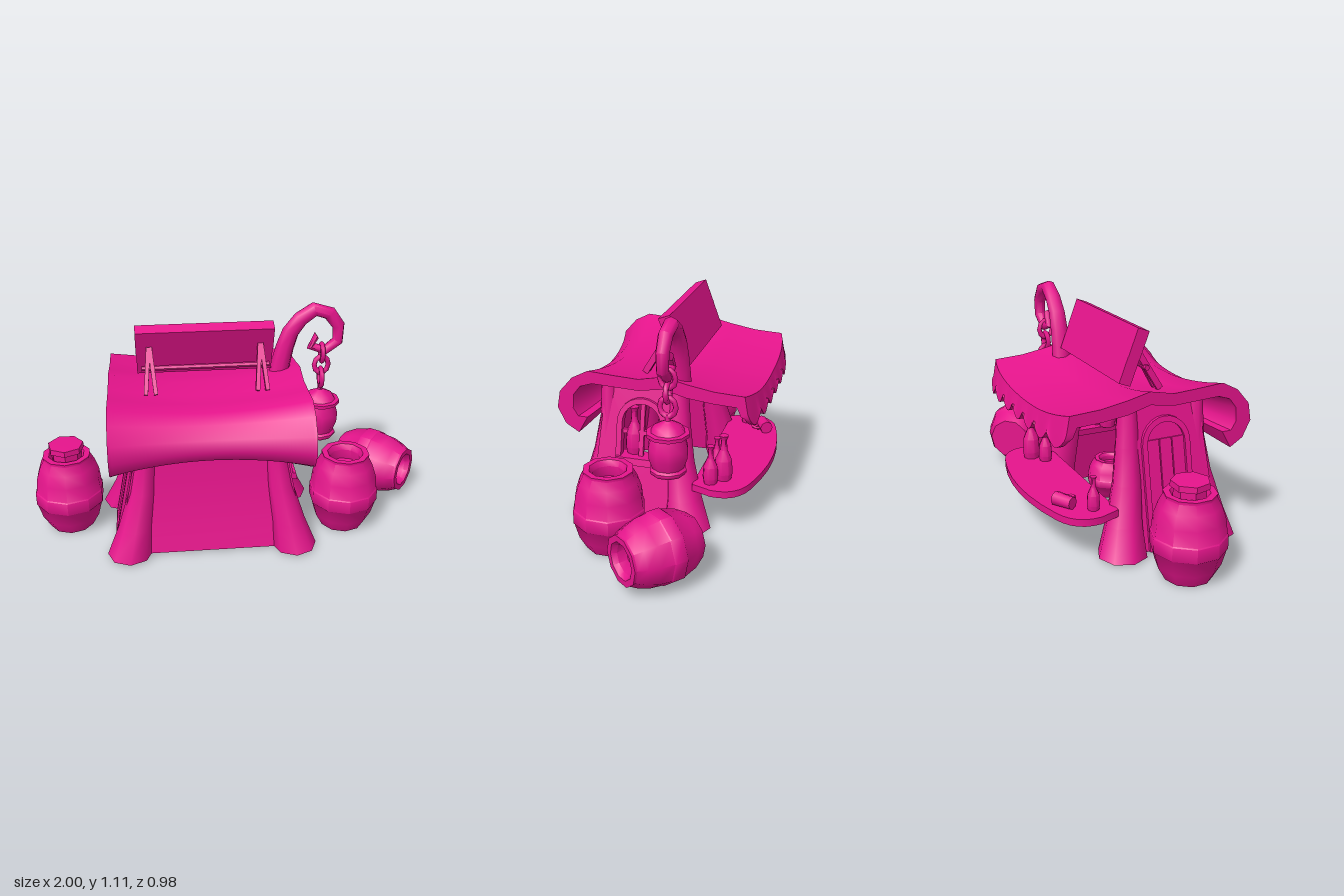
import * as THREE from 'three';
import { toCreasedNormals } from 'three/addons/utils/BufferGeometryUtils.js';

const material = new THREE.MeshStandardMaterial({ color: 0xe6148c, side: THREE.DoubleSide });
const CENTRE = -0.125; // x of the stall's mirror plane

function add(parent, name, geometry, x = 0, y = 0, z = 0, crease = 0.8) {
  const mesh = new THREE.Mesh(toCreasedNormals(geometry, crease), material);
  mesh.name = name;
  mesh.position.set(x, y, z);
  parent.add(mesh);
  return mesh;
}

const lathe = (profile, sides = 10) =>
  new THREE.LatheGeometry(profile.map(([r, y]) => new THREE.Vector2(r, y)), sides);

// Flared post through rows of [y, x, z, radius]
function post(rows) {
  const g = new THREE.CylinderGeometry(1, 1, 1, 8, rows.length - 1);
  const p = g.attributes.position;
  for (let i = 0; i < p.count; i++) {
    const [y, x, z, r] = rows[Math.round((p.getY(i) + 0.5) * (rows.length - 1))];
    p.setXYZ(i, x + p.getX(i) * r, y, z + p.getZ(i) * r);
  }
  return g;
}

// Flat panel drawn in (-z, y), extruded outwards and leaned in with height
function leaning(shape, depth, out) {
  const g = new THREE.ExtrudeGeometry(shape, { depth, bevelEnabled: false, curveSegments: 6 });
  g.rotateY(Math.PI / 2);
  const p = g.attributes.position;
  for (let i = 0; i < p.count; i++) p.setX(i, p.getX(i) + out + 0.435 - 0.2 * p.getY(i));
  return g;
}

function arch(path, centre, half, bottom, spring) {
  path.moveTo(centre - half, bottom);
  path.lineTo(centre + half, bottom);
  path.lineTo(centre + half, spring);
  path.absarc(centre, spring, half, 0, Math.PI, false);
  path.lineTo(centre - half, bottom);
  return path;
}

const polygon = (points) => new THREE.Shape(points.map(([x, y]) => new THREE.Vector2(x, y)));
const rectangle = (x0, y0, x1, y1) => polygon([[x0, y0], [x1, y0], [x1, y1], [x0, y1]]);

// Roof: paired outer and inner profile (z, y) swept along x with a sag and scalloped rear hem
function roofGeometry() {
  const outer = [[.385, .465], [.45, .505], [.49, .585], [.475, .67], [.41, .745], [.33, .787], [.2, .778],
    [.08, .772], [-.04, .797], [-.15, .772], [-.28, .75], [-.425, .742], [-.44, .66], [-.45, .585]];
  const inner = [[.338, .55], [.385, .55], [.41, .59], [.405, .66], [.37, .705], [.31, .725], [.2, .72],
    [.08, .715], [-.04, .735], [-.15, .705], [-.28, .69], [-.39, .685], [-.41, .64], [-.425, .585]];
  const n = outer.length, loop = [...outer, ...[...inner].reverse()], m = loop.length, steps = 56;
  const positions = [], index = [];
  for (let j = 0; j <= steps; j++) {
    const t = j / steps * 2 - 1, s = 1 - t * t, bow = 1 - t ** 4;
    loop.forEach(([z, y], i) => {
      const hem = i === n - 1 || i === n;
      const scallop = hem ? 0.05 * (1 - Math.abs(Math.sin(j / steps * Math.PI * 7))) : 0;
      const lift = z > -0.38 ? -0.065 * s * (y - 0.58) / 0.21 : -0.055 * s * Math.max(0, (y - 0.585) / 0.15);
      const stretch = z > 0 ? 1 - 0.143 * s : 1 + 0.085 * bow;
      positions.push(t * 0.475, y + lift + scallop, z * stretch);
    });
  }
  for (let j = 0; j < steps; j++) for (let i = 0; i < m; i++) {
    const a = j * m + i, c = j * m + (i + 1) % m;
    index.push(a, a + m, c, a + m, c + m, c);
  }
  const last = steps * m;
  for (let i = 0; i < n - 1; i++) {
    const o = i, o2 = i + 1, q = m - 1 - i, q2 = m - 2 - i;
    index.push(o, o2, q, o2, q2, q, last + o, last + q, last + o2, last + o2, last + q, last + q2);
  }
  const g = new THREE.BufferGeometry();
  g.setAttribute('position', new THREE.Float32BufferAttribute(positions, 3));
  g.setIndex(index);
  return g;
}

// Tapered tube along the curl
function hookGeometry() {
  const path = new THREE.CatmullRomCurve3([[.25, .72], [.275, .86], [.325, .99], [.435, 1.075], [.525, 1.025],
    [.555, .925], [.505, .86], [.43, .86], [.4, .91], [.44, .935]].map(([x, y]) => new THREE.Vector3(x, y, -0.1)));
  const rings = 11, sides = 8, g = new THREE.TubeGeometry(path, rings, 1, sides);
  const p = g.attributes.position, v = new THREE.Vector3();
  for (let i = 0; i < p.count; i++) {
    const u = Math.floor(i / (sides + 1)) / rings, c = path.getPointAt(u);
    v.fromBufferAttribute(p, i).sub(c).multiplyScalar(0.052 - 0.032 * u).add(c);
    p.setXYZ(i, v.x, v.y, v.z);
  }
  return g;
}

const JAR = [[0, 0], [.112, 0], [.148, .065], [.168, .14], [.173, .145], [.173, .21], [.168, .215],
  [.16, .285], [.14, .345], [.118, .388], [.12, .402], [.09, .402], [.075, .375], [.085, .32], [0, .3]];
const BOTTLE = [[0, 0], [.034, 0], [.04, .03], [.036, .09], [.016, .135], [.012, .18], [.02, .2], [0, .2]];

export function createModel() {
  const model = new THREE.Group();
  const stall = new THREE.Group();
  stall.name = 'stall';
  stall.position.x = CENTRE;
  model.add(stall);

  add(stall, 'roof', roofGeometry());

  // Posts and side walls, mirrored
  for (const side of [1, -1]) {
    const half = new THREE.Group();
    half.name = side > 0 ? 'leftSide' : 'rightSide';
    half.scale.x = side;
    stall.add(half);
    add(half, 'frontPost', post([[.72, .3, .285, .04], [.5, .315, .28, .053], [.33, .335, .3, .063],
      [.15, .375, .33, .082], [.01, .405, .35, .11]]), 0, 0, 0, 0.9);
    add(half, 'backPost', post([[.71, .3, -.07, .045], [.5, .32, -.075, .058], [.33, .35, -.09, .07],
      [.15, .385, -.12, .09], [.01, .425, -.145, .12]]), 0, 0, 0, 0.9);
    const wall = polygon([[-.35, .01], [.14, .01], [.08, .7], [-.29, .7]]);
    const bottom = side > 0 ? 0.33 : 0.03;
    const frame = arch(new THREE.Shape(), -0.1, 0.125, bottom - 0.02, 0.5);
    frame.holes.push(arch(new THREE.Path(), -0.1, 0.098, bottom, 0.5));
    if (side > 0) {
      wall.holes.push(arch(new THREE.Path(), -0.1, 0.1, bottom, 0.5));
      add(half, 'windowUpright', leaning(rectangle(-.112, .33, -.09, .59), .02, .005));
      add(half, 'windowCrossbar', leaning(rectangle(-.2, .44, 0, .46), .02, .005));
      add(half, 'windowSill', leaning(rectangle(-.22, .3, .03, .335), .09, -.03));
    } else {
      for (const a of [-0.165, -0.1, -0.035]) {
        add(half, 'doorPlank', leaning(rectangle(a - .03, .03, a + .03, .52), .012, .024));
      }
    }
    add(half, 'sideWall', leaning(wall, 0.03, 0));
    add(half, side > 0 ? 'windowFrame' : 'doorFrame', leaning(frame, 0.045, 0));
  }

  // Front wall, curving with the posts
  const front = new THREE.BoxGeometry(0.7, 0.67, 0.04, 1, 8, 1);
  const p = front.attributes.position;
  for (let i = 0; i < p.count; i++) {
    const k = 0.5 - p.getY(i) / 0.67;
    p.setX(i, p.getX(i) * (0.9 + 0.2 * k * k));
    p.setZ(i, p.getZ(i) + 0.27 + 0.08 * k * k);
  }
  add(stall, 'frontWall', front, 0, 0.345, 0);

  // Counter with a bowed edge
  const top = new THREE.Shape();
  top.moveTo(-.43, .17);
  top.lineTo(.43, .17);
  top.lineTo(.465, .27);
  top.quadraticCurveTo(.48, .4, .34, .44);
  top.quadraticCurveTo(0, .54, -.34, .44);
  top.quadraticCurveTo(-.48, .4, -.465, .27);
  add(stall, 'counter', new THREE.ExtrudeGeometry(top, { depth: .035, bevelEnabled: false, curveSegments: 6 })
    .rotateX(-Math.PI / 2), 0, 0.205, 0);

  // Roof sign with its props
  const sign = new THREE.Group();
  sign.name = 'sign';
  sign.position.set(0, 0.914, -0.05);
  sign.rotation.x = 0.36;
  stall.add(sign);
  add(sign, 'upperPlank', new THREE.BoxGeometry(.67, .132, .06), 0, .066, 0);
  add(sign, 'lowerPlank', new THREE.BoxGeometry(.665, .13, .06), 0, -.065, 0);
  for (const x of [-0.27, 0.27]) for (const s of [-1, 1]) {
    const prop = add(stall, 'signProp', new THREE.BoxGeometry(.02, .23, .03), x + s * .014, .84, .045);
    prop.rotation.set(-0.53, 0, s * 0.09);
  }
  add(stall, 'signRail', new THREE.CylinderGeometry(.013, .013, .62, 6).rotateZ(Math.PI / 2), 0, .85, .03);

  // Curled hook, chain and hanging lantern
  add(model, 'hook', hookGeometry(), 0, 0, 0, 0.9);
  [[.84, .036], [.775, .036], [.705, .038]].forEach(([y, r], i) => {
    const link = add(model, 'chainLink', new THREE.TorusGeometry(r, .013, 6, 10), .47, y, -.1, 1.2);
    link.scale.y = 1.2;
    link.rotation.y = i % 2 ? 0 : Math.PI / 2;
  });
  add(model, 'lantern', lathe([[0, .378], [.08, .378], [.088, .39], [.088, .4], [.076, .41], [.093, .46], [.096, .51],
    [.08, .565], [.102, .568], [.102, .585], [.08, .588], [.065, .612], [.03, .63], [.014, .64], [.012, .67], [0, .675]]),
    .47, 0, -.1);

  // Large jars around the stall
  add(model, 'leftJar', lathe(JAR), .56, .003, .16);
  add(model, 'rightJar', lathe(JAR), -.83, .003, .035);
  add(model, 'stopper', lathe([[0, .38], [.075, .38], [.075, .43], [.09, .432], [.088, .46], [0, .463]], 7), -.83, 0, .035);
  const tipped = add(model, 'tippedJar', lathe(JAR), .65, .171, -.262);
  tipped.scale.set(0.98, 0.91, 0.98);
  tipped.quaternion.setFromUnitVectors(new THREE.Vector3(0, 1, 0), new THREE.Vector3(.77, 0, .64).normalize());
  add(model, 'innerPot', lathe(JAR), .08, .01, .1).scale.set(.72, .5, .72);

  // Wares on the counter and window sill
  for (const [x, y, z, s] of [[.2, .24, -.3, 1.15], [.26, .24, -.25, .97], [.13, .24, -.25, .9],
    [-.5, .24, -.27, .8], [.22, .335, .145, 1.2]]) {
    add(model, 'bottle', lathe(BOTTLE, 8), x, y, z).scale.setScalar(s);
  }
  const mug = add(model, 'lyingMug', new THREE.CylinderGeometry(.03, .034, .1, 8).rotateZ(Math.PI / 2), -.42, .27, -.38);
  mug.rotation.y = 0.5;
  add(model, 'mugHandle', new THREE.TorusGeometry(.025, .009, 5, 8).rotateX(1.4), -.4, .265, -.345, 1.2);

  return model;
}
